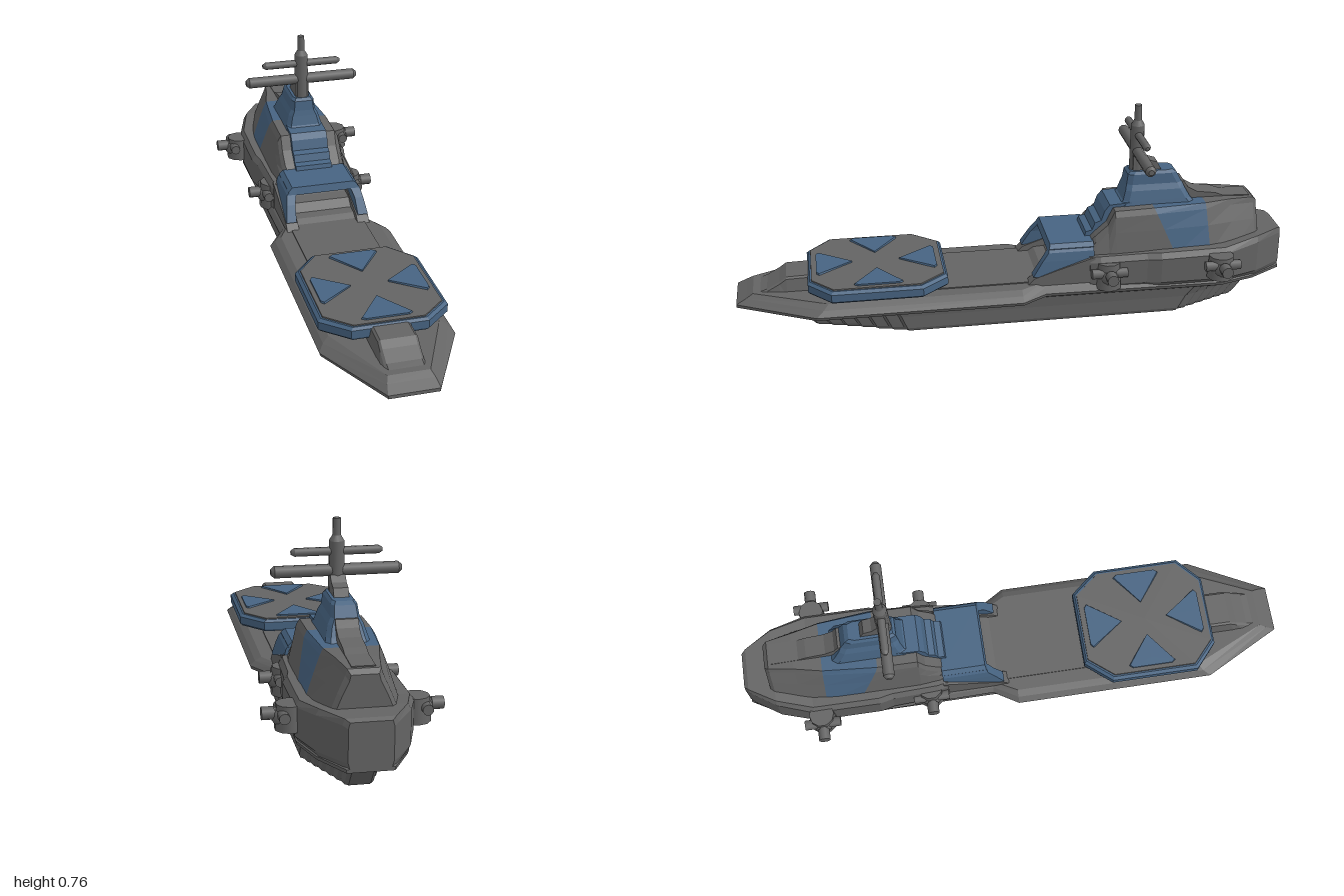
import * as THREE from 'three';

const grey = new THREE.MeshStandardMaterial({ color: 0x646464 });
grey.name = 'hull grey';
const blue = new THREE.MeshStandardMaterial({ color: 0x476482 });
blue.name = 'camouflage blue';

// Skin a stack of equal-length rings of [x, y, z] points; faces always turn outward.
function skin(rings, caps = true) {
  const n = rings[0].length, pos = [];
  const tri = (a, b, c) => pos.push(...a, ...b, ...c);
  for (let i = 0; i < rings.length - 1; i++) {
    for (let j = 0; j < n; j++) {
      const k = (j + 1) % n, a = rings[i], b = rings[i + 1];
      tri(a[j], a[k], b[k]);
      tri(a[j], b[k], b[j]);
    }
  }
  if (caps) {
    [rings[0], rings[rings.length - 1]].forEach((r, end) => {
      const c = [0, 1, 2].map((d) => r.reduce((s, p) => s + p[d], 0) / n);
      for (let j = 0; j < n; j++) {
        const k = (j + 1) % n;
        if (end) tri(c, r[j], r[k]); else tri(c, r[k], r[j]);
      }
    });
  }
  let volume = 0;
  const v = (i) => new THREE.Vector3(pos[i], pos[i + 1], pos[i + 2]);
  for (let i = 0; i < pos.length; i += 9) volume += v(i).dot(v(i + 3).cross(v(i + 6)));
  if (volume < 0) {
    for (let i = 0; i < pos.length; i += 9) {
      for (let d = 3; d < 6; d++) [pos[i + d], pos[i + d + 3]] = [pos[i + d + 3], pos[i + d]];
    }
  }
  const g = new THREE.BufferGeometry();
  g.setAttribute('position', new THREE.Float32BufferAttribute(pos, 3));
  g.computeVertexNormals();
  return g;
}

// Mirror a half outline [x, other] into a full loop.
const mirror = (half) => [...half, ...half.slice().reverse().map(([x, o]) => [-x, o])];
// Plan outline stacked at levels [y, xScale, zScale].
const stack = (half, levels, caps = true, zc = 0) => skin(levels.map(([y, sx, sz]) =>
  mirror(half).map(([x, z]) => [x * sx, y, zc + (z - zc) * sz])), caps);
// Side profile [z, y] extruded across a width centred on x.
function across(profile, width, x = 0) {
  const g = new THREE.ExtrudeGeometry(new THREE.Shape(profile.map((p) => new THREE.Vector2(...p))),
    { depth: width, bevelEnabled: false });
  return g.rotateY(-Math.PI / 2).translate(x + width / 2, 0, 0);
}
const box = (w, h, d, x, y, z) => new THREE.BoxGeometry(w, h, d).translate(x, y, z);
const rod = (r0, r1, h) => new THREE.CylinderGeometry(r0, r1, h, 10);

export function createModel() {
  const root = new THREE.Group();
  root.name = 'warship';
  const body = new THREE.Group();
  body.name = 'ship';
  body.position.x = 0.006;
  root.add(body);
  const add = (name, geometry, material = grey, parent = body) => {
    const m = new THREE.Mesh(geometry, material);
    m.name = name;
    parent.add(m);
  };

  // Deck slab with bevelled rim
  const deck = [[0.085, 1], [0.23, 0.72], [0.23, -0.01], [0.175, -0.1], [0.185, -0.75], [0.145, -0.88], [0.075, -1]];
  add('deck', stack(deck, [[0.1, 0.86, 0.95], [0.113, 0.98, 1], [0.125, 1, 1], [0.143, 0.92, 0.965], [0.157, 0.82, 0.94]]));
  add('deckWalkway', box(0.28, 0.006, 0.42, 0, 0.158, 0.08));

  // Hollow keel wall with stepped ends
  const keel = [];
  for (let i = 0; i < 7; i++) {
    const x = 0.035 + i * 0.017, z = 0.75 - i * 0.055;
    keel.push([x, z], [x + 0.011, z - 0.012]);
  }
  for (let i = 6; i >= 0; i--) {
    const x = 0.035 + i * 0.017, z = -0.86 + i * 0.04;
    keel.push([x + 0.011, z + 0.012], [x, z]);
  }
  add('keel', stack(keel, [[0.11, 1.04, 1.1], [0.06, 1, 1.03], [0.012, 1, 0.985], [0, 0.97, 0.97],
    [0, 0.85, 0.92], [0.05, 0.84, 0.94], [0.11, 0.86, 1]], false, -0.03));

  // Landing pad
  const pad = [[0.14, 0.25], [0.22, 0.345], [0.22, 0.665], [0.13, 0.745]];
  add('padRim', stack(pad, [[0.17, 0.96, 0.98], [0.178, 1, 1], [0.206, 1, 1], [0.215, 0.95, 0.97]], true, 0.5), blue);
  add('padTop', stack(pad, [[0.211, 0.93, 0.95], [0.219, 0.92, 0.945]], true, 0.5));
  add('padSupport', box(0.3, 0.03, 0.36, 0, 0.16, 0.5));
  for (let i = 0; i < 4; i++) {
    const s = i % 2 ? [0.065, 0.187] : [0.085, 0.215];
    const ring = (y, k) => [[0, s[0]], [0.088 * k, s[1] - 0.01], [0.075 * k, s[1]], [-0.075 * k, s[1]], [-0.088 * k, s[1] - 0.01]]
      .map(([x, z]) => [x, y, z]);
    add('padMarking', skin([ring(0.217, 1), ring(0.225, 0.95)]).rotateY(i * Math.PI / 2).translate(0, 0, 0.498), blue);
  }

  // Bow housing in front of the pad
  add('bowHousing', skin([[0.7, 0.205], [0.745, 0.21], [0.82, 0.208], [0.845, 0.19], [0.89, 0.165], [0.92, 0.155]].map(([z, y]) =>
    mirror([[0.078, 0.14], [0.066, y - 0.006], [0.058, y]]).map(([x, h]) => [x, h, z]))));

  // Open bay behind the deck: grey and blue cheeks with a roof
  for (const s of [-1, 1]) {
    add('bayCheek', across([[-0.03, 0.15], [-0.06, 0.18], [-0.15, 0.21], [-0.28, 0.25], [-0.28, 0.15]], 0.045, s * 0.135));
    add('bayArchSide', skin([[0.185, 0.118, 0.156, -0.055], [0.24, 0.115, 0.147, -0.09], [0.27, 0.105, 0.14, -0.113], [0.292, 0.1, 0.122, -0.12]]
      .map(([y, a, b, f]) => [[a, f], [b, f], [b, -0.279], [a, -0.279]].map(([x, z]) => [s * x, y, z]))), blue);
  }
  add('bayRoof', skin([[0.13, 0.268], [0.133, 0.282], [0.118, 0.296]].map(([w, y], i) =>
    mirror([[w, -0.113 - i * 0.004], [w, -0.28]]).map(([x, z]) => [x, y, z]))), blue);
  add('bayRamp', across([[-0.06, 0.15], [-0.1, 0.175], [-0.14, 0.178], [-0.17, 0.205], [-0.22, 0.208], [-0.26, 0.225], [-0.26, 0.15]], 0.24));
  add('bayBackPanel', box(0.2, 0.022, 0.006, 0, 0.235, -0.259), blue);

  // Lower superstructure, running to the blunt stern
  const lower = [[-0.262, 0.16, 0.248], [-0.3, 0.17, 0.25], [-0.47, 0.178, 0.255], [-0.52, 0.19, 0.258],
    [-0.76, 0.19, 0.262], [-0.89, 0.148, 0.28], [-0.985, 0.085, 0.28], [-1, 0.07, 0.272]];
  add('lowerSuperstructure', skin(lower.map(([z, w, t]) => mirror([[w * 0.9, 0.12], [w, 0.145], [w, t - 0.02], [w * 0.92, t]])
    .map(([x, y]) => [x, y, z]))));

  // Upper superstructure with a slanted blue band: [z, base width, top width, top height, slant]
  const upper = [[-0.262, 0.135, 0.11, 0.28, 0], [-0.29, 0.142, 0.118, 0.31, 0], [-0.335, 0.146, 0.118, 0.35, 0],
    [-0.36, 0.148, 0.118, 0.402, 0], [-0.58, 0.152, 0.118, 0.406, 0.075], [-0.71, 0.152, 0.1, 0.406, 0.01],
    [-0.8, 0.14, 0.075, 0.405, 0], [-0.89, 0.118, 0.058, 0.4, 0], [-0.905, 0.105, 0.048, 0.385, 0]];
  const section = ([z, w, d, t, slant]) => mirror([[w, 0.235], [w * 0.4 + d * 0.6, 0.235 + (t - 0.235) * 0.55], [d, t - 0.02], [d * 0.9, t]])
    .map(([x, y]) => [x, y, z + slant * (y - 0.235) / 0.17]);
  add('upperSuperstructureFront', skin(upper.slice(0, 5).map(section)));
  add('upperSuperstructureBand', skin(upper.slice(4, 6).map(section)), blue);
  add('upperSuperstructureRear', skin(upper.slice(5).map(section)));
  add('rearRidge', across([[-0.55, 0.39], [-0.55, 0.475], [-0.63, 0.475], [-0.645, 0.45], [-0.68, 0.43], [-0.75, 0.42],
    [-0.78, 0.408], [-0.88, 0.404], [-0.88, 0.39]], 0.075));

  // Stepped bridge front and tower
  add('bridgeSteps', across([[-0.25, 0.27], [-0.262, 0.312], [-0.285, 0.318], [-0.295, 0.345], [-0.318, 0.353], [-0.33, 0.39],
    [-0.348, 0.412], [-0.43, 0.417], [-0.43, 0.27]], 0.14), blue);
  add('tower', skin([[0.395, 0.075, -0.37, -0.67], [0.42, 0.068, -0.4, -0.65], [0.455, 0.058, -0.41, -0.63],
    [0.475, 0.047, -0.415, -0.62], [0.512, 0.043, -0.42, -0.6], [0.522, 0.035, -0.43, -0.585]]
    .map(([y, w, f, b]) => mirror([[w * 0.8, f], [w, f - 0.02], [w, b + 0.02], [w * 0.8, b]]).map(([x, z]) => [x, y, z]))), blue);
  add('mastFoot', across([[-0.44, 0.51], [-0.44, 0.58], [-0.48, 0.58], [-0.5, 0.56], [-0.53, 0.55], [-0.55, 0.51]], 0.05));

  // Mast and yards
  add('mast', rod(0.025, 0.027, 0.18).translate(0, 0.6, -0.457));
  add('mastCollar', rod(0.013, 0.025, 0.02).translate(0, 0.7, -0.457));
  add('mastTip', rod(0.013, 0.014, 0.07).translate(0, 0.73, -0.457));
  for (const [y, r, half] of [[0.592, 0.02, 0.205], [0.655, 0.014, 0.139]]) {
    add('yard', rod(r, r, half * 2).rotateZ(Math.PI / 2).translate(0, y, -0.457));
    for (const s of [-1, 1]) {
      add('yardTip', rod(r * 0.5, r, 0.012).rotateZ(-s * Math.PI / 2).translate(s * (half + 0.006), y, -0.457));
    }
  }

  // Side gun mounts
  for (const s of [-1, 1]) {
    for (const [z, y, tip, pod] of [[-0.33, 0.18, 0.242, 0.1], [-0.735, 0.205, 0.291, 0.085]]) {
      const gun = new THREE.Group();
      gun.name = 'gunMount';
      body.add(gun);
      add('gunPod', rod(0.045, 0.05, pod).translate(s * (tip - 0.09), y, z), grey, gun);
      add('gunTurret', new THREE.SphereGeometry(0.034, 12, 8).translate(s * (tip - 0.065), y, z), grey, gun);
      add('gunCrossArm', rod(0.018, 0.018, 0.13).rotateX(Math.PI / 2).translate(s * (tip - 0.065), y + 0.012, z), grey, gun);
      add('gunBarrel', rod(0.017, 0.017, 0.08).rotateZ(Math.PI / 2).translate(s * (tip - 0.04), y + 0.012, z), grey, gun);
      add('gunMuzzle', rod(0.021, 0.021, 0.04).rotateZ(Math.PI / 2).translate(s * (tip - 0.02), y + 0.012, z), grey, gun);
    }
  }
  return root;
}
